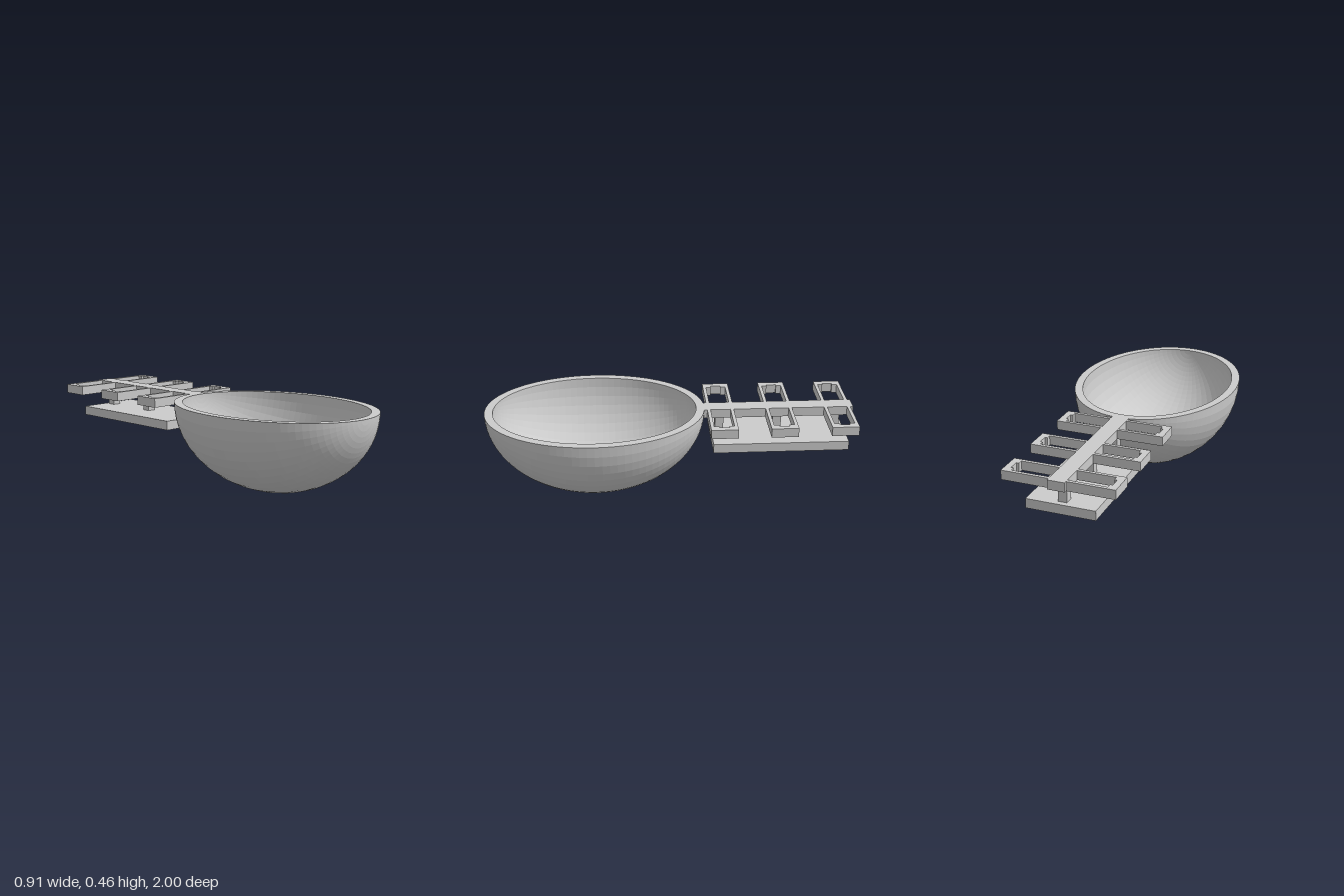
import * as THREE from 'three';

const RIM_Y = 0.455, BOWL_Z = 0.405;

export function createModel() {
  const group = new THREE.Group();
  const mat = new THREE.MeshStandardMaterial({ color: 0xcccccc, flatShading: true });

  const add = (name, geo, x = 0, y = 0, z = 0) => {
    const mesh = new THREE.Mesh(geo, mat);
    mesh.name = name;
    mesh.position.set(x, y, z);
    group.add(mesh);
  };
  // Box given by its extents
  const box = (name, x0, x1, y0, y1, z0, z1) =>
    add(name, new THREE.BoxGeometry(x1 - x0, y1 - y0, z1 - z0),
      (x0 + x1) / 2, (y0 + y1) / 2, (z0 + z1) / 2);

  // Lower half of an ellipsoid with its poles along z
  const halfShell = (rx, ry, rz, inward) => {
    const geo = new THREE.SphereGeometry(1, 24, 48, 0, Math.PI);
    geo.rotateX(Math.PI / 2);
    geo.scale(rx, ry, rz);
    if (inward) geo.index.array.reverse();
    const flat = geo.toNonIndexed();
    flat.computeVertexNormals();
    return flat;
  };

  // Bowl: outer shell, inner shell and flat rim
  add('bowlOuter', halfShell(0.455, 0.455, 0.595, false), 0, RIM_Y, BOWL_Z);
  add('bowlInner', halfShell(0.41, 0.41, 0.55, true), 0, RIM_Y, BOWL_Z);
  const rim = new THREE.Shape().absellipse(0, 0, 0.455, 0.595, 0, Math.PI * 2);
  rim.holes.push(new THREE.Path().absellipse(0, 0, 0.41, 0.55, 0, Math.PI * 2));
  add('bowlRim', new THREE.ShapeGeometry(rim, 48).rotateX(-Math.PI / 2), 0, RIM_Y, BOWL_Z);

  // Handle spine and lower plate
  box('handleSpine', -0.045, 0.045, 0.405, RIM_Y, -1, -0.16);
  box('lowerPlate', -0.183, 0.183, 0.262, 0.313, -0.96, -0.228);

  // Cross frame with a stepped opening on each side of the spine
  const frame = new THREE.Shape();
  frame.moveTo(-0.295, -0.072).lineTo(0.295, -0.072).lineTo(0.295, 0.072).lineTo(-0.295, 0.072).closePath();
  const half = [[0.045, 0.054], [0.248, 0.054], [0.248, 0.027], [0.262, 0.027]];
  const opening = [...half, ...half.map(([x, y]) => [x, -y]).reverse()];
  for (const s of [-1, 1]) {
    frame.holes.push(new THREE.Path(opening.map(([x, y]) => new THREE.Vector2(s * x, y))));
  }
  const frameGeo = new THREE.ExtrudeGeometry(frame, { depth: 0.05, bevelEnabled: false }).rotateX(-Math.PI / 2);

  // Three frames, each with a post down to the plate
  for (const z of [-0.912, -0.592, -0.275]) {
    add('crossFrame', frameGeo, 0, 0.405, z);
    box('post', -0.023, 0.023, 0.31, 0.41, z - 0.019, z + 0.027);
  }
  return group;
}
